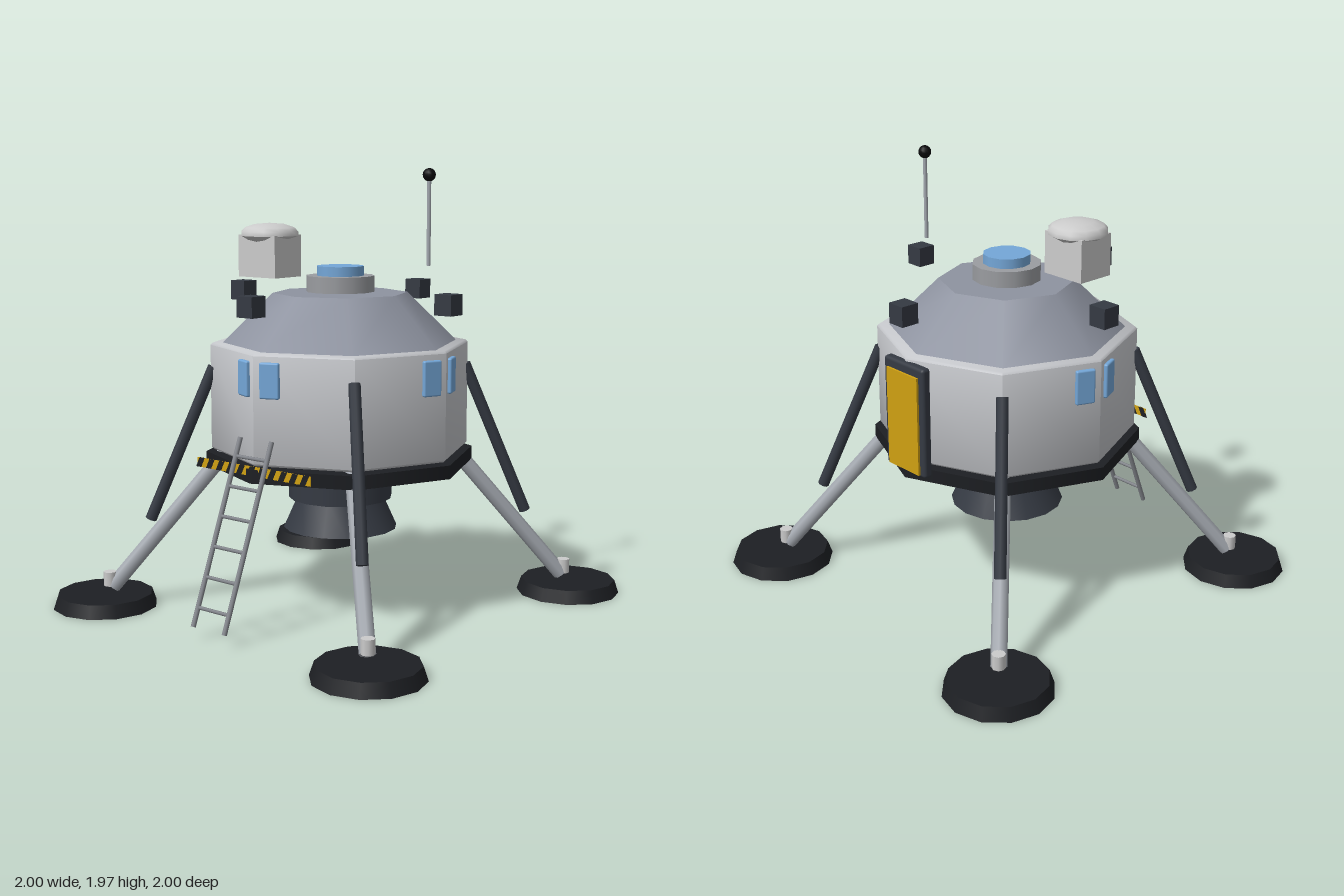
import * as THREE from 'three';
import { toCreasedNormals } from 'three/addons/utils/BufferGeometryUtils.js';
import { RoundedBoxGeometry } from 'three/addons/geometries/RoundedBoxGeometry.js';

const mat = (color) => new THREE.MeshStandardMaterial({ color });

export function createModel() {
  const root = new THREE.Group();
  const hull = mat(0xc4c6ca), roofGrey = mat(0x8e93a0), metal = mat(0xa4a9b0), dark = mat(0x353a43);
  const black = mat(0x1d1f23), blue = mat(0x74a7d8), gold = mat(0xd0a012), pale = mat(0xd6d8da);
  const ladderGrey = mat(0x85888e), ballBlack = mat(0x08080a);

  function add(name, geometry, material, x = 0, y = 0, z = 0, parent = root) {
    const mesh = new THREE.Mesh(geometry, material);
    mesh.name = name;
    mesh.position.set(x, y, z);
    parent.add(mesh);
    return mesh;
  }
  // Upright drum or cone between two heights
  function drum(name, material, rTop, rBottom, y0, y1, sides, x = 0, z = 0, parent = root) {
    return add(name, new THREE.CylinderGeometry(rTop, rBottom, y1 - y0, sides), material, x, (y0 + y1) / 2, z, parent);
  }
  // Straight rod between two points
  function rod(name, material, a, b, r, sides = 8, parent = root) {
    const from = new THREE.Vector3(...a), to = new THREE.Vector3(...b);
    const dir = to.clone().sub(from);
    const mesh = add(name, new THREE.CylinderGeometry(r, r, dir.length(), sides), material, 0, 0, 0, parent);
    mesh.position.copy(from).add(to).multiplyScalar(0.5);
    mesh.quaternion.setFromUnitVectors(new THREE.Vector3(0, 1, 0), dir.normalize());
    return mesh;
  }
  function lathe(name, material, profile, sides, x = 0, y = 0, z = 0) {
    const points = profile.map(([r, h]) => new THREE.Vector2(r, h));
    return add(name, toCreasedNormals(new THREE.LatheGeometry(points, sides), 0.9), material, x, y, z);
  }

  // Octagonal cabin, roof and deck, with corners on the axes
  lathe('cabin', hull, [[0, 0.715], [0.575, 0.715], [0.585, 0.725], [0.585, 1.19], [0.575, 1.2], [0, 1.2]], 8);
  drum('roof', roofGrey, 0.305, 0.53, 1.2, 1.42, 8);
  drum('deck', black, 0.61, 0.61, 0.645, 0.705, 8);

  // Top hatch
  drum('hatchCollar', mat(0x9b9da1), 0.155, 0.155, 1.425, 1.497, 12);
  drum('hatchGlass', blue, 0.107, 0.107, 1.497, 1.54, 12);

  // Engine with a flared, recessed nozzle
  drum('engineHousing', dark, 0.237, 0.237, 0.485, 0.65, 16);
  lathe('nozzle', dark, [[0, 0.37], [0.2, 0.37], [0.22, 0.345], [0.26, 0.345], [0.195, 0.49], [0, 0.49]], 16);
  drum('nozzleThroat', black, 0.205, 0.205, 0.355, 0.375, 16);

  // Four legs on the diagonals
  for (const sx of [-1, 1]) for (const sz of [-1, 1]) {
    const leg = new THREE.Group();
    leg.name = `${sz > 0 ? 'front' : 'back'}${sx > 0 ? 'Left' : 'Right'}Leg`;
    root.add(leg);
    const p = (d, y) => [sx * d, y, sz * d];
    drum('footPad', black, 0.217, 0.2375, 0, 0.06, 12, sx * 0.7625, sz * 0.7625, leg);
    drum('ankle', pale, 0.03, 0.03, 0.09, 0.155, 8, sx * 0.746, sz * 0.746, leg);
    rod('mainStrut', metal, p(0.738, 0.085), p(0.36, 0.715), 0.035, 8, leg);
    rod('braceStrut', dark, p(0.405, 1.09), p(0.612, 0.395), 0.026, 8, leg);
  }

  // Pairs of windows around the front and side corners
  [['front', 0], ['left', Math.PI / 2], ['right', -Math.PI / 2]].forEach(([side, turn]) => {
    const pair = new THREE.Group();
    pair.name = side + 'Windows';
    pair.rotation.y = turn;
    root.add(pair);
    for (const s of [-1, 1]) {
      const pane = add('window', new RoundedBoxGeometry(0.088, 0.155, 0.035, 2, 0.008), blue, s * 0.07, 1.088, 0.556, pair);
      pane.rotation.y = s * Math.PI / 8;
    }
  });

  // Back door
  add('doorFrame', new RoundedBoxGeometry(0.26, 0.505, 0.045, 2, 0.015), dark, 0, 0.928, -0.582);
  add('doorPanel', new THREE.BoxGeometry(0.2, 0.45, 0.02), gold, 0, 0.912, -0.605);

  // Thruster blocks
  for (const [x, z] of [[1, 0], [-1, 0], [0, 1], [0, -1]]) {
    add('thrusterBlock', new THREE.BoxGeometry(0.086, 0.09, 0.086), dark, x * 0.592, 1.4, z * 0.592);
  }

  // Warning strip with slanted stripes
  add('warningStrip', new THREE.BoxGeometry(0.65, 0.042, 0.003), gold, 0, 0.696, 0.594);
  for (let i = 0; i < 11; i++) {
    const x = -0.318 + i * 0.06, h = 0.021;
    const stripe = new THREE.Shape([[-0.015, -h], [0.015, -h], [0.036, h], [0.006, h]]
      .map(([u, v]) => new THREE.Vector2(Math.min(x + u, 0.325), v)));
    add('warningStripe', new THREE.ExtrudeGeometry(stripe, { depth: 0.006, bevelEnabled: false }), black, 0, 0.696, 0.591);
  }

  // Ladder
  const ladder = new THREE.Group();
  ladder.name = 'ladder';
  root.add(ladder);
  for (const s of [-1, 1]) rod('ladderRail', ladderGrey, [s * 0.09, 0.06, 0.873], [s * 0.09, 0.83, 0.57], 0.011, 8, ladder);
  for (let i = 0; i < 6; i++) {
    const y = 0.138 + i * 0.123, z = 0.873 - (y - 0.06) * 0.3935;
    rod('ladderRung', ladderGrey, [-0.09, y, z], [0.09, y, z], 0.008, 6, ladder);
  }

  // Sensor box with a domed cap
  add('sensorBox', new THREE.BoxGeometry(0.22, 0.19, 0.18), pale, -0.307, 1.58, 0.13);
  lathe('sensorDome', pale, [[0, 0], [0.09, 0], [0.132, 0.025], [0.132, 0.045], [0.115, 0.062], [0.07, 0.077], [0, 0.083]],
    12, -0.307, 1.645, 0.13);

  // Aerial
  rod('aerialMast', metal, [0.393, 1.55, -0.13], [0.393, 1.93, -0.13], 0.009);
  add('aerialTip', new THREE.SphereGeometry(0.029, 12, 8), ballBlack, 0.393, 1.945, -0.13);

  return root;
}
